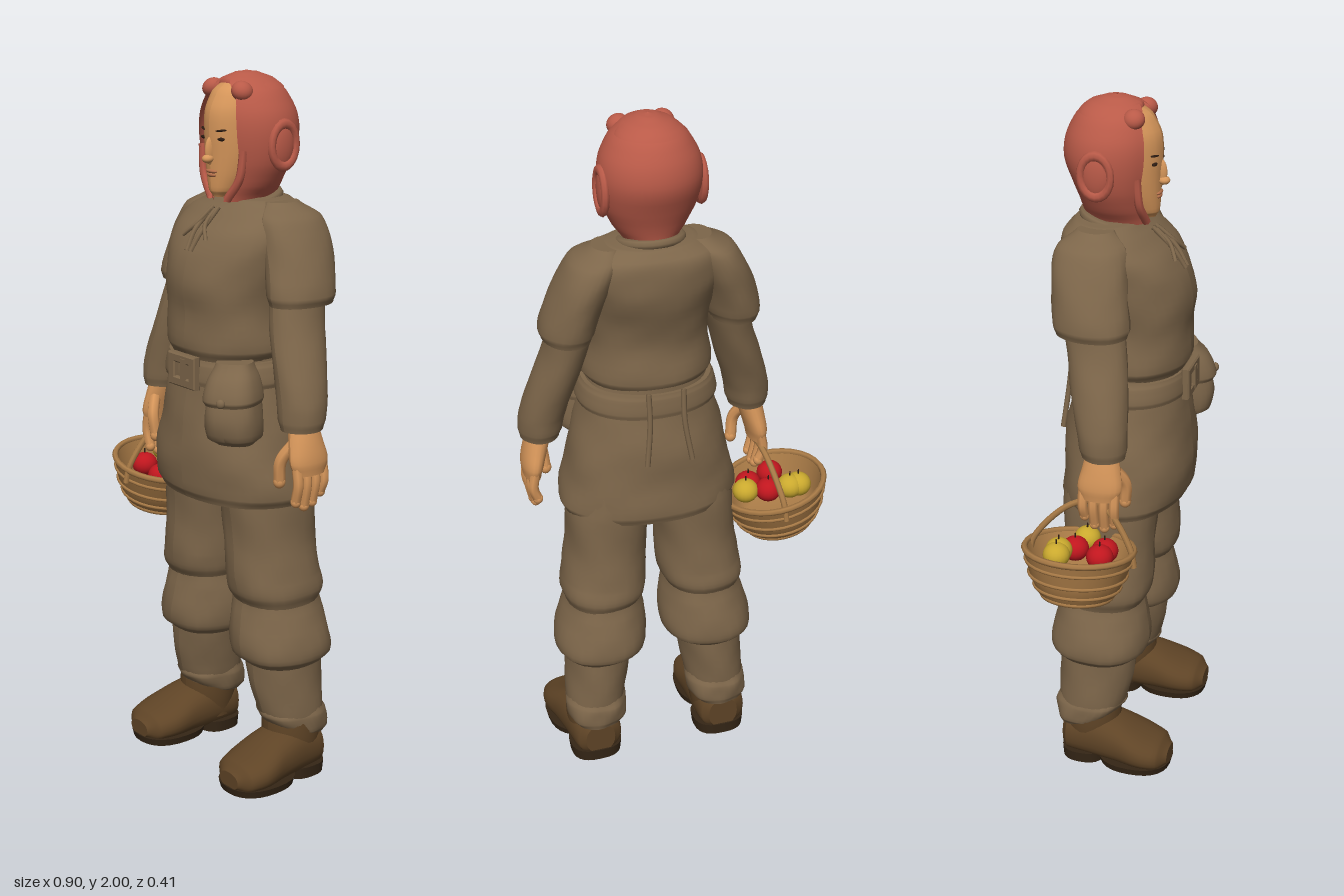
import * as THREE from 'three';

const C = 0.076; // body centre line
const mat = (name, color, side = THREE.FrontSide) => {
  const m = new THREE.MeshStandardMaterial({ color, side });
  m.name = name;
  return m;
};

// Stack of ellipses [y, cx, cz, rx, rz], smoothed along y; o.cut opens the front by an angle per ring.
function loft(rings, o = {}) {
  const { n = 28, sub = 4, pow = 1, wob = 0, cut = null } = o;
  const rows = rings.map((r, i) => [...r, cut ? cut[i] : 0]);
  const at = (i) => rows[Math.max(0, Math.min(rows.length - 1, i))];
  const fine = [];
  for (let i = 0; i < rows.length - 1; i++) {
    for (let k = 0; k < sub + (i === rows.length - 2 ? 1 : 0); k++) {
      const t = k / sub;
      fine.push(at(i).map((b, c) => {
        const a = at(i - 1)[c], d = at(i + 1)[c], e = at(i + 2)[c];
        if (c === 0) return b + (d - b) * t;
        return b + 0.5 * t * (d - a + t * (2 * a - 5 * b + 4 * d - e + t * (3 * (b - d) + e - a)));
      }));
    }
  }
  const pos = [], idx = [], w = n + 1;
  const sp = (v) => Math.sign(v) * Math.pow(Math.abs(v), pow);
  const point = ([y, cx, cz, rx, rz, c], j) => {
    const a = c + (j / n) * (Math.PI * 2 - 2 * c);
    const k = 1 + wob * (Math.sin(a * 4 + y * 31) + 0.6 * Math.sin(a * 7 - y * 57));
    pos.push(cx + rx * k * sp(Math.sin(a)), y, cz + rz * k * sp(Math.cos(a)));
  };
  fine.forEach((r) => { for (let j = 0; j <= n; j++) point(r, j); });
  for (let i = 0; i < fine.length - 1; i++) {
    for (let j = 0; j < n; j++) {
      const p = i * w + j;
      idx.push(p, p + 1, p + w, p + 1, p + w + 1, p + w);
    }
  }
  if (!cut) {
    [[fine[0], false], [fine[fine.length - 1], true]].forEach(([r, top]) => {
      const base = pos.length / 3;
      for (let j = 0; j <= n; j++) point(r, j);
      pos.push(r[1], r[0], r[2]);
      for (let j = 0; j < n; j++) {
        idx.push(base + w, base + j + (top ? 0 : 1), base + j + (top ? 1 : 0));
      }
    });
  }
  const g = new THREE.BufferGeometry();
  g.setAttribute('position', new THREE.Float32BufferAttribute(pos, 3));
  g.setIndex(idx);
  g.computeVertexNormals();
  return g;
}

export function createModel() {
  const root = new THREE.Group();
  root.name = 'villagerWithBasket';
  const cloth = mat('cloth brown', 0x7d664a, THREE.DoubleSide);
  const skin = mat('skin', 0xd6965a);
  const hair = mat('red hair', 0xb95a48, THREE.DoubleSide);
  const boot = mat('boot leather', 0x5f4426);
  const sole = mat('boot sole', 0x352616);
  const wicker = mat('wicker', 0xa87a46, THREE.DoubleSide);
  const red = mat('apple red', 0xc0161e);
  const yellow = mat('apple yellow', 0xcaa92e);
  const dark = mat('dark eyes', 0x2c1c12);
  const lip = mat('lips', 0xb36f4a);

  const add = (name, geo, m, parent = root) => {
    const mesh = new THREE.Mesh(geo, m);
    mesh.name = name;
    parent.add(mesh);
    return mesh;
  };
  const ball = (name, m, p, r, parent = root) => {
    const b = add(name, new THREE.SphereGeometry(1, 20, 14), m, parent);
    b.position.set(...p);
    b.scale.set(...r);
    return b;
  };
  const tube = (name, pts, r, m, parent = root) => add(name, new THREE.TubeGeometry(
    new THREE.CatmullRomCurve3(pts.map((p) => new THREE.Vector3(...p))), 24, r, 7), m, parent);
  // rings given as [y, cz, rx, rz] about the centre line
  const mid = (rows) => rows.map(([y, cz, rx, rz]) => [y, C, cz, rx, rz]);
  // rings given as [y, offset, cz, rx, rz] for one side
  const off = (s, rows) => rows.map(([y, o, ...r]) => [y, C + s * o, ...r]);

  // Tunic: skirt, bloused top and collar
  add('tunicSkirt', loft(mid([[0.835, -0.01, 0.245, 0.172], [0.86, -0.008, 0.256, 0.182], [0.95, 0, 0.24, 0.184],
    [1.05, -0.004, 0.218, 0.178], [1.15, 0, 0.192, 0.163], [1.25, 0, 0.168, 0.15]]), { n: 40, pow: 0.9, wob: 0.009 }), cloth);
  add('tunicTop', loft(mid([[1.235, 0.005, 0.166, 0.15], [1.265, 0.006, 0.184, 0.163], [1.36, 0.01, 0.174, 0.158],
    [1.44, 0.006, 0.182, 0.168], [1.52, -0.015, 0.196, 0.17], [1.58, -0.035, 0.203, 0.154],
    [1.63, -0.06, 0.19, 0.122], [1.66, -0.065, 0.125, 0.09], [1.665, -0.065, 0.085, 0.07]]), { n: 40, pow: 0.88, wob: 0.008 }), cloth);
  const collar = add('collar', new THREE.TorusGeometry(0.083, 0.014, 8, 28), cloth);
  collar.rotation.x = Math.PI / 2 + 0.2;
  collar.position.set(C, 1.655, -0.055);
  for (const s of [-1, 1]) {
    tube('neckLace', [[C + s * 0.01, 1.635, 0.07], [C + s * 0.018, 1.6, 0.11], [C + s * 0.05, 1.565, 0.135]], 0.006, cloth);
    tube('lacePlacket', [[C + s * 0.012, 1.64, 0.06], [C + s * 0.014, 1.58, 0.122], [C + s * 0.008, 1.53, 0.153]], 0.007, cloth);
  }

  // Belt, buckle, pouch and back loops
  add('belt', loft(mid([[1.165, 0, 0.196, 0.168], [1.18, 0, 0.2, 0.171], [1.22, 0, 0.191, 0.167], [1.235, 0, 0.183, 0.162]]), { n: 40, pow: 0.9 }), cloth);
  const frame = new THREE.Shape().moveTo(-0.055, -0.042).lineTo(0.055, -0.042).lineTo(0.055, 0.042).lineTo(-0.055, 0.042);
  frame.holes.push(new THREE.Path().moveTo(-0.035, -0.024).lineTo(-0.035, 0.024).lineTo(0.035, 0.024).lineTo(0.035, -0.024));
  add('buckle', new THREE.ExtrudeGeometry(frame, { depth: 0.016, bevelSize: 0.004, bevelThickness: 0.004, bevelSegments: 1 }), cloth)
    .position.set(C, 1.2, 0.162);
  add('buckleBar', new THREE.BoxGeometry(0.02, 0.07, 0.022), cloth).position.set(C + 0.01, 1.2, 0.174);
  const pouch = new THREE.Group();
  pouch.name = 'pouch';
  pouch.position.set(0.235, 1.02, 0.115);
  pouch.rotation.set(0, 0.45, 0.04);
  root.add(pouch);
  add('pouchBag', loft([[0, 0, 0, 0.05, 0.04], [0.02, 0, 0.005, 0.072, 0.066], [0.08, 0, 0.008, 0.076, 0.072],
    [0.15, 0, 0, 0.066, 0.062], [0.21, 0, -0.01, 0.05, 0.045]], { pow: 0.75, wob: 0.012 }), cloth, pouch);
  add('pouchFlap', loft([[0.115, 0, 0.006, 0.073, 0.074], [0.13, 0, 0.008, 0.078, 0.078], [0.18, 0, 0, 0.068, 0.066],
    [0.225, 0, -0.01, 0.05, 0.04]], { pow: 0.75 }), cloth, pouch);
  ball('pouchButton', cloth, [0, 0.13, 0.087], [0.013, 0.013, 0.01], pouch);
  for (const x of [-0.06, 0.04]) {
    tube('backStrap', [[C + x, 1.24, -0.16], [C + x, 1.15, -0.171], [C + x * 1.3, 1.03, -0.184]], 0.008, cloth);
  }

  for (const s of [-1, 1]) {
    // Arms
    add('shortSleeve', loft(off(s, [[1.4, 0.236, -0.045, 0.068, 0.098], [1.425, 0.234, -0.047, 0.077, 0.106], [1.5, 0.214, -0.058, 0.076, 0.105],
      [1.57, 0.187, -0.066, 0.073, 0.106], [1.625, 0.16, -0.068, 0.066, 0.094], [1.66, 0.125, -0.068, 0.04, 0.05]]), { wob: 0.012 }), cloth);
    add('longSleeve', loft(off(s, [[1.075, 0.307, 0.008, 0.054, 0.06], [1.1, 0.305, 0.006, 0.061, 0.067], [1.16, 0.296, 0, 0.064, 0.072],
      [1.26, 0.266, -0.016, 0.064, 0.08], [1.35, 0.238, -0.03, 0.06, 0.084], [1.44, 0.22, -0.045, 0.062, 0.085]]), { wob: 0.01 }), cloth);

    // Hands
    const hand = new THREE.Group();
    hand.name = s > 0 ? 'leftHand' : 'rightHand';
    root.add(hand);
    add('palm', loft(off(s, [[0.955, 0.335, 0.003, 0.024, 0.052], [0.99, 0.333, 0.004, 0.03, 0.063], [1.04, 0.322, 0.006, 0.034, 0.055],
      [1.1, 0.308, 0.006, 0.035, 0.043]]), { n: 20 }), skin, hand);
    for (let i = 0; i < 4; i++) {
      const z = -0.042 + i * 0.03, low = [0.895, 0.872, 0.865, 0.88][i];
      tube('finger', [[C + s * 0.335, 0.98, z], [C + s * 0.342, 0.93, z], [C + s * 0.33, low, z * 0.95]], 0.0145, skin, hand);
      ball('fingertip', skin, [C + s * 0.33, low, z * 0.95], [0.0145, 0.016, 0.0145], hand);
    }
    tube('thumb', [[C + s * 0.312, 1.04, 0.04], [C + s * 0.288, 0.99, 0.065], [C + s * 0.28, 0.93, 0.062]], 0.017, skin, hand);
    ball('thumbTip', skin, [C + s * 0.28, 0.93, 0.062], [0.017, 0.02, 0.017], hand);

    // Layered trousers
    add('trouserThigh', loft(off(s, [[0.535, 0.153, -0.04, 0.108, 0.12], [0.57, 0.15, -0.038, 0.122, 0.137], [0.62, 0.143, -0.032, 0.122, 0.136],
      [0.72, 0.134, -0.028, 0.114, 0.132], [0.84, 0.125, -0.025, 0.118, 0.138], [0.92, 0.115, -0.02, 0.11, 0.14]]), { pow: 0.92, wob: 0.01 }), cloth);
    add('trouserKnee', loft(off(s, [[0.355, 0.17, -0.05, 0.105, 0.115], [0.38, 0.165, -0.048, 0.132, 0.142], [0.43, 0.16, -0.045, 0.134, 0.144],
      [0.5, 0.153, -0.042, 0.12, 0.132], [0.55, 0.15, -0.04, 0.108, 0.122]]), { pow: 0.92, wob: 0.011 }), cloth);
    add('trouserShin', loft(off(s, [[0.17, 0.19, -0.07, 0.082, 0.09], [0.2, 0.188, -0.065, 0.088, 0.1], [0.29, 0.178, -0.055, 0.092, 0.112],
      [0.38, 0.17, -0.05, 0.098, 0.116]]), { wob: 0.012 }), cloth);
    add('raggedCuff', loft(off(s, [[0.125, 0.192, -0.1, 0.07, 0.065], [0.145, 0.19, -0.09, 0.088, 0.082], [0.19, 0.188, -0.07, 0.092, 0.104],
      [0.215, 0.186, -0.065, 0.085, 0.098]]), { n: 36, wob: 0.03 }), cloth);

    // Boots
    add('bootFoot', loft(off(s, [[-0.148, 0.195, -0.075, 0.045, 0.05], [-0.13, 0.196, -0.08, 0.07, 0.066], [-0.05, 0.2, -0.086, 0.079, 0.078],
      [0.03, 0.206, -0.078, 0.085, 0.07], [0.1, 0.212, -0.064, 0.092, 0.054], [0.155, 0.214, -0.055, 0.077, 0.043],
      [0.182, 0.214, -0.05, 0.04, 0.024]]), { pow: 0.88 }).rotateX(Math.PI / 2), boot);
    add('bootShaft', loft(off(s, [[0.05, 0.195, -0.066, 0.07, 0.075], [0.12, 0.194, -0.064, 0.08, 0.085], [0.19, 0.192, -0.064, 0.082, 0.084],
      [0.205, 0.192, -0.065, 0.076, 0.078]])), boot);
    add('bootSole', loft(off(s, [[0.008, 0.21, 0.075, 0.088, 0.106], [0.03, 0.21, 0.075, 0.093, 0.112]]), { pow: 0.85, sub: 1 }), sole);
    add('bootHeel', loft(off(s, [[0, 0.196, -0.085, 0.074, 0.066], [0.035, 0.196, -0.085, 0.078, 0.068]]), { pow: 0.75, sub: 1 }), sole);
  }

  // Neck and face
  add('neck', loft(mid([[1.61, -0.05, 0.068, 0.072], [1.66, -0.05, 0.054, 0.058], [1.74, -0.05, 0.054, 0.06]])), skin);
  add('face', loft(mid([[1.668, 0.035, 0.02, 0.03], [1.685, 0.018, 0.04, 0.057], [1.73, -0.005, 0.062, 0.083], [1.78, -0.015, 0.075, 0.095],
    [1.84, -0.02, 0.081, 0.103], [1.9, -0.025, 0.082, 0.104], [1.95, -0.03, 0.07, 0.084], [1.978, -0.03, 0.045, 0.05]])), skin);
  ball('nose', skin, [C, 1.793, 0.078], [0.01, 0.038, 0.018]);
  ball('noseTip', skin, [C, 1.772, 0.087], [0.015, 0.012, 0.017]);
  ball('upperLip', lip, [C, 1.738, 0.074], [0.023, 0.006, 0.009]);
  ball('lowerLip', lip, [C, 1.728, 0.073], [0.019, 0.007, 0.009]);
  for (const s of [-1, 1]) {
    ball('eye', dark, [C + s * 0.035, 1.826, 0.07], [0.014, 0.005, 0.007]);
    const brow = ball('eyebrow', dark, [C + s * 0.036, 1.849, 0.071], [0.018, 0.003, 0.006]);
    brow.rotation.set(0, s * 0.35, s * 0.12);
  }

  // Hair: open shell round the face, side buns and fringe
  add('hairShell', loft(mid([[1.655, -0.04, 0.07, 0.095], [1.7, -0.042, 0.1, 0.1], [1.76, -0.048, 0.128, 0.115], [1.83, -0.055, 0.14, 0.133],
    [1.89, -0.053, 0.133, 0.13], [1.945, -0.048, 0.104, 0.108], [1.98, -0.045, 0.064, 0.07], [2, -0.045, 0.002, 0.002]]),
  { n: 36, cut: [0.3, 0.6, 0.66, 0.63, 0.62, 0.6, 0.25, 0] }), hair);
  add('hairCrown', loft(mid([[1.955, -0.06, 0.094, 0.088], [1.98, -0.048, 0.064, 0.072], [1.995, -0.045, 0.028, 0.034], [1.999, -0.045, 0.005, 0.005]])), hair);
  for (const s of [-1, 1]) {
    ball('sideBun', hair, [C + s * 0.127, 1.81, -0.065], [0.018, 0.062, 0.04]);
    const curl = add('sideCurl', new THREE.TorusGeometry(0.042, 0.011, 8, 20), hair);
    curl.position.set(C + s * 0.135, 1.81, -0.065);
    curl.scale.y = 1.35;
    curl.rotation.y = Math.PI / 2;
    const tuft = ball('fringeTuft', hair, [C + s * 0.062, 1.952, 0.02], [0.03, 0.026, 0.03]);
    tuft.rotation.z = -s * 0.5;
    tube('jawLock', [[C + s * 0.088, 1.8, 0.035], [C + s * 0.076, 1.72, 0.04], [C + s * 0.035, 1.662, 0.048]], 0.012, hair);
  }

  // Basket: tilted wicker bowl with bands, handle and apples
  const basket = new THREE.Group();
  basket.name = 'basket';
  basket.position.set(-0.322, 0.678, -0.043);
  basket.rotation.z = -0.18;
  root.add(basket);
  const profile = [[0, 0], [0.09, 0], [0.112, 0.012], [0.135, 0.06], [0.155, 0.13], [0.16, 0.138], [0.146, 0.138], [0.125, 0.06], [0.1, 0.02], [0, 0.018]];
  add('bowl', new THREE.LatheGeometry(profile.map((p) => new THREE.Vector2(...p)), 32), wicker, basket);
  for (const [r, y, t] of [[0.153, 0.137, 0.009], [0.149, 0.105, 0.005], [0.138, 0.065, 0.005], [0.122, 0.03, 0.005], [0.1, 0.004, 0.007]]) {
    const band = add('wickerBand', new THREE.TorusGeometry(r, t, 6, 32), wicker, basket);
    band.rotation.x = Math.PI / 2;
    band.position.y = y;
  }
  tube('basketHandle', [[-0.287, 0.77, 0.112], [-0.283, 0.82, 0.102], [-0.265, 0.92, 0.035], [-0.258, 0.945, -0.02],
    [-0.265, 0.92, -0.09], [-0.283, 0.82, -0.18], [-0.287, 0.77, -0.192]], 0.009, wicker);
  const apples = [[red, -0.315, 0.805, 0.022], [red, -0.28, 0.8, -0.06], [red, -0.245, 0.785, 0.015],
    [yellow, -0.335, 0.82, -0.09], [yellow, -0.362, 0.82, -0.088], [yellow, -0.215, 0.8, -0.045]];
  for (const [m, x, y, z] of apples) {
    ball('apple', m, [x, y, z], [0.038, 0.035, 0.038]);
    add('appleStem', new THREE.CylinderGeometry(0.002, 0.003, 0.02, 5), dark).position.set(x, y + 0.038, z);
  }
  return root;
}
